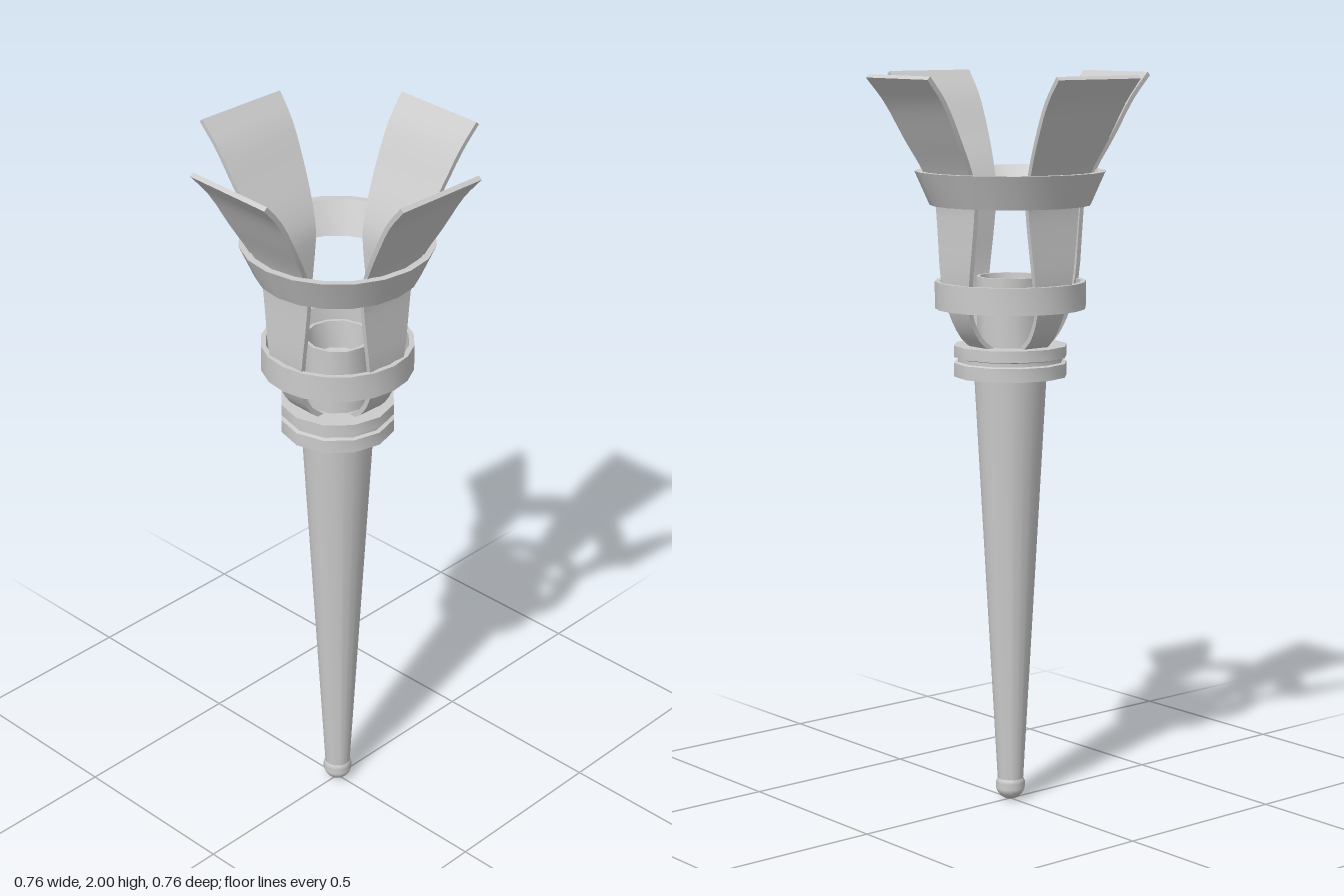
import * as THREE from 'three';
import { toCreasedNormals } from 'three/addons/utils/BufferGeometryUtils.js';

const material = new THREE.MeshStandardMaterial({ color: 0xcccccc });

function addMesh(parent, name, geometry) {
  const mesh = new THREE.Mesh(toCreasedNormals(geometry, 0.6), material);
  mesh.name = name;
  parent.add(mesh);
  return mesh;
}

// Turned part from [radius, height] pairs, running up the outside and down the inside
function turned(parent, name, profile, sides) {
  const points = profile.map(([r, y]) => new THREE.Vector2(r, y));
  return addMesh(parent, name, new THREE.LatheGeometry(points, sides));
}

// Flared strip: each station gives half width, height and distance from the axis
function petalGeometry() {
  const stations = [
    [0.04, 1.262, 0.085], [0.04, 1.3, 0.132], [0.046, 1.37, 0.168],
    [0.062, 1.45, 0.18], [0.078, 1.58, 0.179], [0.088, 1.67, 0.182],
    [0.1, 1.74, 0.208], [0.118, 1.83, 0.258], [0.13, 1.93, 0.315], [0.136, 1.994, 0.368],
  ];
  const curve = new THREE.CatmullRomCurve3(stations.map((s) => new THREE.Vector3(...s)));
  const thickness = 0.013;
  const geometry = new THREE.BoxGeometry(1, 1, 1, 1, 27, 1);
  const pos = geometry.attributes.position;
  for (let i = 0; i < pos.count; i++) {
    const t = pos.getY(i) + 0.5;
    const p = curve.getPoint(t);
    const d = curve.getTangent(t);
    const offset = (pos.getZ(i) * thickness) / Math.hypot(d.y, d.z);
    pos.setXYZ(i, pos.getX(i) * 2 * p.x, p.y - d.z * offset, p.z + d.y * offset);
  }
  return geometry;
}

export function createModel() {
  const torch = new THREE.Group();
  torch.name = 'torch';

  // Tapered handle with a ball at its foot
  turned(torch, 'handle', [[0, 0.05], [0.035, 0.05], [0.099, 1.2], [0, 1.2]], 20);
  const ball = addMesh(torch, 'pommel', new THREE.SphereGeometry(0.041, 20, 14));
  ball.position.y = 0.041;

  // Double collar with a groove between
  turned(torch, 'collar', [
    [0, 1.188], [0.155, 1.188], [0.155, 1.225], [0.144, 1.228],
    [0.144, 1.238], [0.155, 1.241], [0.155, 1.272], [0, 1.272],
  ], 12);

  // Cup that holds the flame
  turned(torch, 'cup', [
    [0, 1.265], [0.09, 1.265], [0.093, 1.458], [0.084, 1.458], [0.078, 1.38], [0, 1.37],
  ], 12);

  // Hoops binding the petals
  turned(torch, 'lowerHoop', [
    [0.19, 1.372], [0.204, 1.372], [0.204, 1.445], [0.19, 1.445], [0.19, 1.372],
  ], 20);
  turned(torch, 'upperHoop', [
    [0.2, 1.65], [0.217, 1.65], [0.257, 1.74], [0.237, 1.74], [0.2, 1.65],
  ], 20);

  // Four petals, set slightly askew
  const petals = new THREE.Group();
  petals.name = 'petals';
  petals.rotation.y = -0.04;
  const shape = petalGeometry();
  for (let i = 0; i < 4; i++) {
    addMesh(petals, 'petal', shape).rotation.y = (i * Math.PI) / 2;
  }
  torch.add(petals);

  return torch;
}
